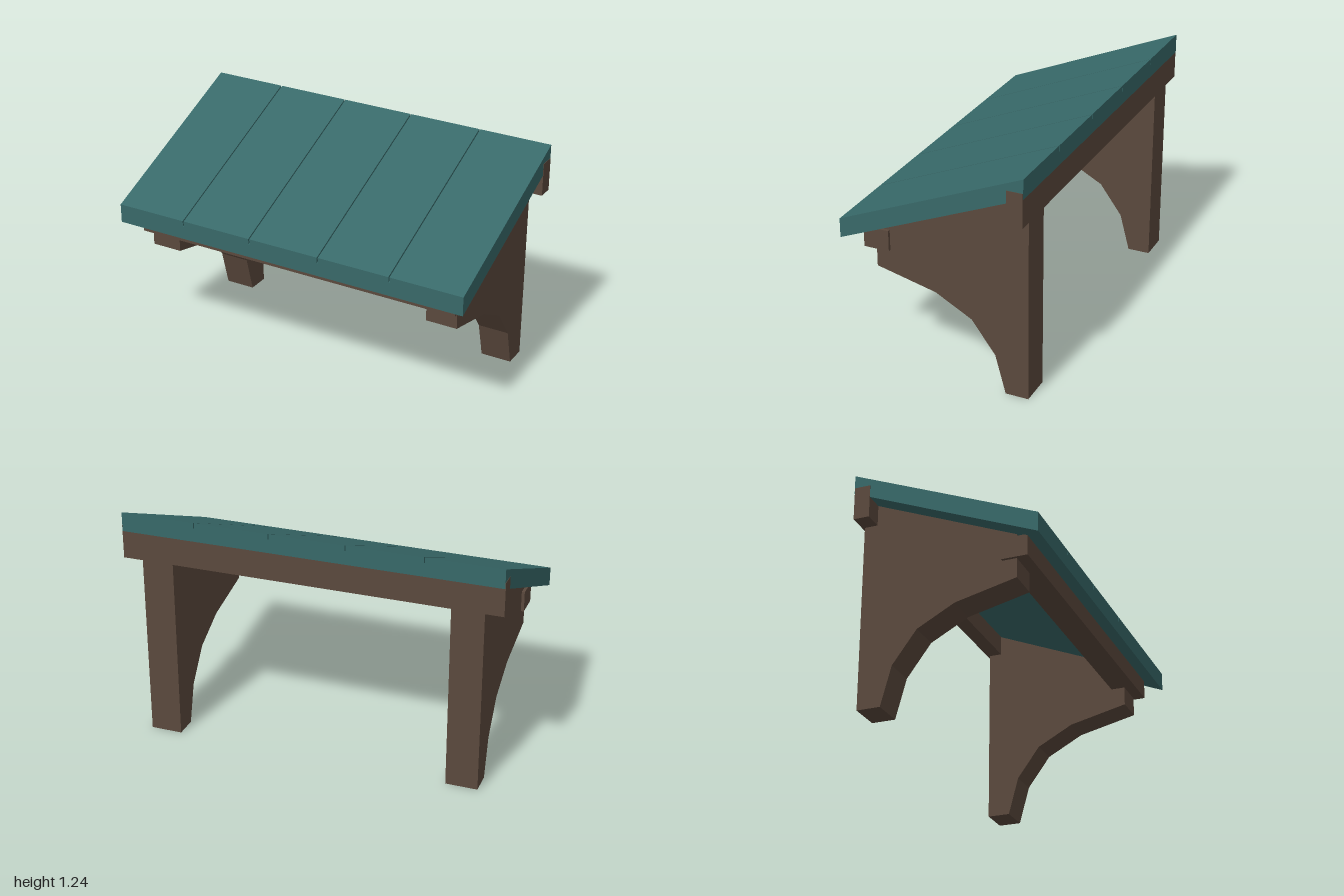
import * as THREE from 'three';

const teal = new THREE.MeshStandardMaterial({ name: 'teal roof paint', color: 0x386969 });
const brown = new THREE.MeshStandardMaterial({ name: 'brown timber', color: 0x5b493d });

const HALF_WIDTH = 0.998, HALF_DEPTH = 0.488, SLOPE = 0.42;
const MID_TOP = 1.032, THICKNESS = 0.102;
const underside = (z) => MID_TOP - THICKNESS - SLOPE * z;

function extrude(points, depth) {
  const shape = new THREE.Shape(points.map(([x, y]) => new THREE.Vector2(x, y)));
  const geometry = new THREE.ExtrudeGeometry(shape, { depth, bevelEnabled: false });
  return geometry.translate(0, 0, -depth / 2);
}

// Roof: a grooved board profile run front to back, then sheared to the slope
function makeRoof() {
  const groove = 0.006, grooveDepth = 0.03, bottom = MID_TOP - THICKNESS;
  const points = [[-HALF_WIDTH, bottom], [HALF_WIDTH, bottom], [HALF_WIDTH, MID_TOP]];
  for (const x of [0.6, 0.2, -0.2, -0.6]) {
    const a = x + groove / 2, b = x - groove / 2;
    points.push([a, MID_TOP], [a, MID_TOP - grooveDepth], [b, MID_TOP - grooveDepth], [b, MID_TOP]);
  }
  points.push([-HALF_WIDTH, MID_TOP]);
  const geometry = extrude(points, HALF_DEPTH * 2);
  const p = geometry.attributes.position;
  for (let i = 0; i < p.count; i++) p.setY(i, p.getY(i) - SLOPE * p.getZ(i));
  geometry.computeVertexNormals();
  const roof = new THREE.Mesh(geometry, teal);
  roof.name = 'plankRoof';
  return roof;
}

// Side bracket: wall post and curved brace cut as one piece (z, y outline)
function makeBracket(name, x) {
  const outline = [
    [-0.472, 0], [-0.35, 0], [-0.295, 0.205], [-0.17, 0.375], [0.025, 0.48],
    [0.343, 0.555], [0.343, underside(0.343)], [-0.472, underside(-0.472)],
  ];
  const bracket = new THREE.Mesh(extrude(outline, 0.168).rotateY(-Math.PI / 2), brown);
  bracket.name = name;
  bracket.position.x = x;
  return bracket;
}

function makeBeam(name, width, y0, y1, z0, z1) {
  const beam = new THREE.Mesh(new THREE.BoxGeometry(width, y1 - y0, z1 - z0), brown);
  beam.name = name;
  beam.position.set(0, (y0 + y1) / 2, (z0 + z1) / 2);
  return beam;
}

export function createModel() {
  const group = new THREE.Group();
  group.name = 'awning';
  group.add(
    makeRoof(),
    makeBracket('leftBracket', 0.818),
    makeBracket('rightBracket', -0.818),
    makeBeam('frontBeam', 1.836, 0.657, 0.768, 0.268, 0.404),
    makeBeam('rearBeam', 2.0, 0.988, 1.165, -0.486, -0.402),
  );
  return group;
}
